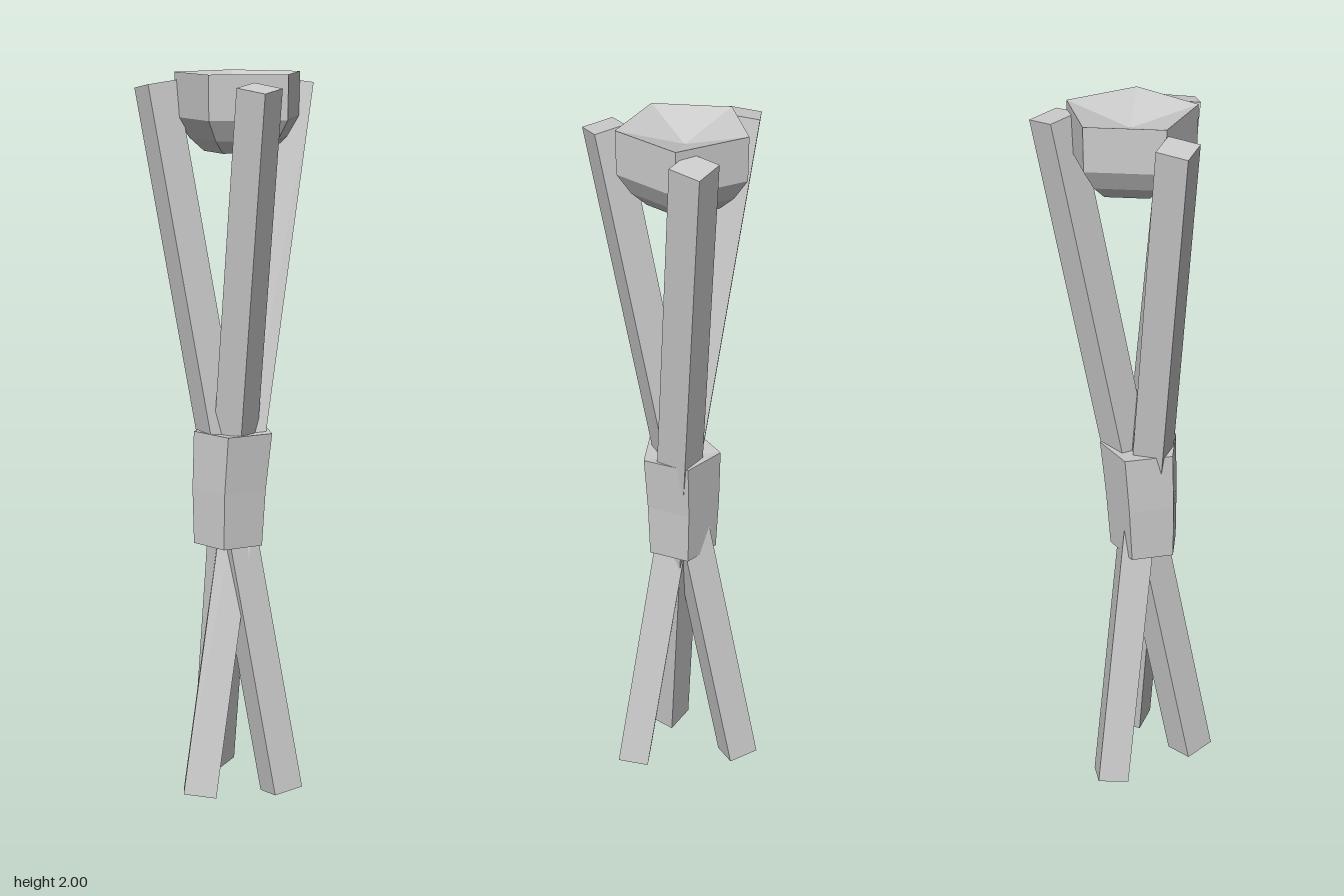
import * as THREE from 'three';

const grey = new THREE.MeshStandardMaterial({ color: 0xcccccc, flatShading: true });
grey.name = 'plain grey';

// Closed five-sided body through rings [y, radius, centreX, centreZ];
// an optional top height lets the upper cap dip into a shallow dish.
function pentagonBody(name, rings, turn, topY) {
  const pos = [], index = [], n = 5;
  for (const [y, r, cx, cz] of rings)
    for (let i = 0; i < n; i++) {
      const a = turn + (i * Math.PI * 2) / n;
      pos.push(cx + r * Math.cos(a), y, cz + r * Math.sin(a));
    }
  const last = rings.length - 1;
  const bottom = pos.length / 3, top = bottom + 1;
  pos.push(rings[0][2], rings[0][0], rings[0][3]);
  pos.push(rings[last][2], topY, rings[last][3]);
  for (let i = 0; i < n; i++) {
    const j = (i + 1) % n;
    for (let k = 0; k < last; k++) {
      const a = k * n + i, b = k * n + j;
      index.push(a, a + n, b, b, a + n, b + n);
    }
    index.push(bottom, i, j, top, last * n + j, last * n + i);
  }
  const indexed = new THREE.BufferGeometry();
  indexed.setAttribute('position', new THREE.Float32BufferAttribute(pos, 3));
  indexed.setIndex(index);
  const geometry = indexed.toNonIndexed();
  geometry.computeVertexNormals();
  const mesh = new THREE.Mesh(geometry, grey);
  mesh.name = name;
  return mesh;
}

// Square pole from foot to head, rolled about its own axis
function pole(name, foot, head, rollDegrees, width) {
  const a = new THREE.Vector3(...foot), b = new THREE.Vector3(...head);
  const axis = b.clone().sub(a);
  const geometry = new THREE.BoxGeometry(width, axis.length(), width);
  geometry.rotateY(THREE.MathUtils.degToRad(rollDegrees));
  const mesh = new THREE.Mesh(geometry, grey);
  mesh.quaternion.setFromUnitVectors(new THREE.Vector3(0, 1, 0), axis.normalize());
  mesh.position.copy(a).add(b).multiplyScalar(0.5);
  mesh.name = name;
  return mesh;
}

export function createModel() {
  const model = new THREE.Group();
  model.name = 'tripodBrazier';

  // Three crossing poles
  model.add(
    pole('backPole', [0.017, 0.017, 0.188], [0.017, 1.97, -0.19], 45, 0.091),
    pole('rightPole', [0.154, 0.017, 0.003], [-0.188, 1.968, 0.145], -17, 0.087),
    pole('leftPole', [-0.152, 0.017, -0.031], [0.189, 1.968, 0.13], 13, 0.087)
  );

  // Binding around the crossing, with one corner towards the back
  model.add(pentagonBody('binding', [
    [0.715, 0.1, 0.002, 0.055],
    [0.87, 0.107, 0.002, 0.05],
    [1.03, 0.114, 0.008, 0.04]
  ], -Math.PI / 2, 1.02));

  // Bowl with a sunken top
  model.add(pentagonBody('bowl', [
    [1.79, 0.1, 0, 0.01],
    [1.825, 0.14, 0, 0.01],
    [1.88, 0.178, 0, 0.01],
    [2.0, 0.18, 0, 0.01]
  ], 0.015, 1.95));

  return model;
}
